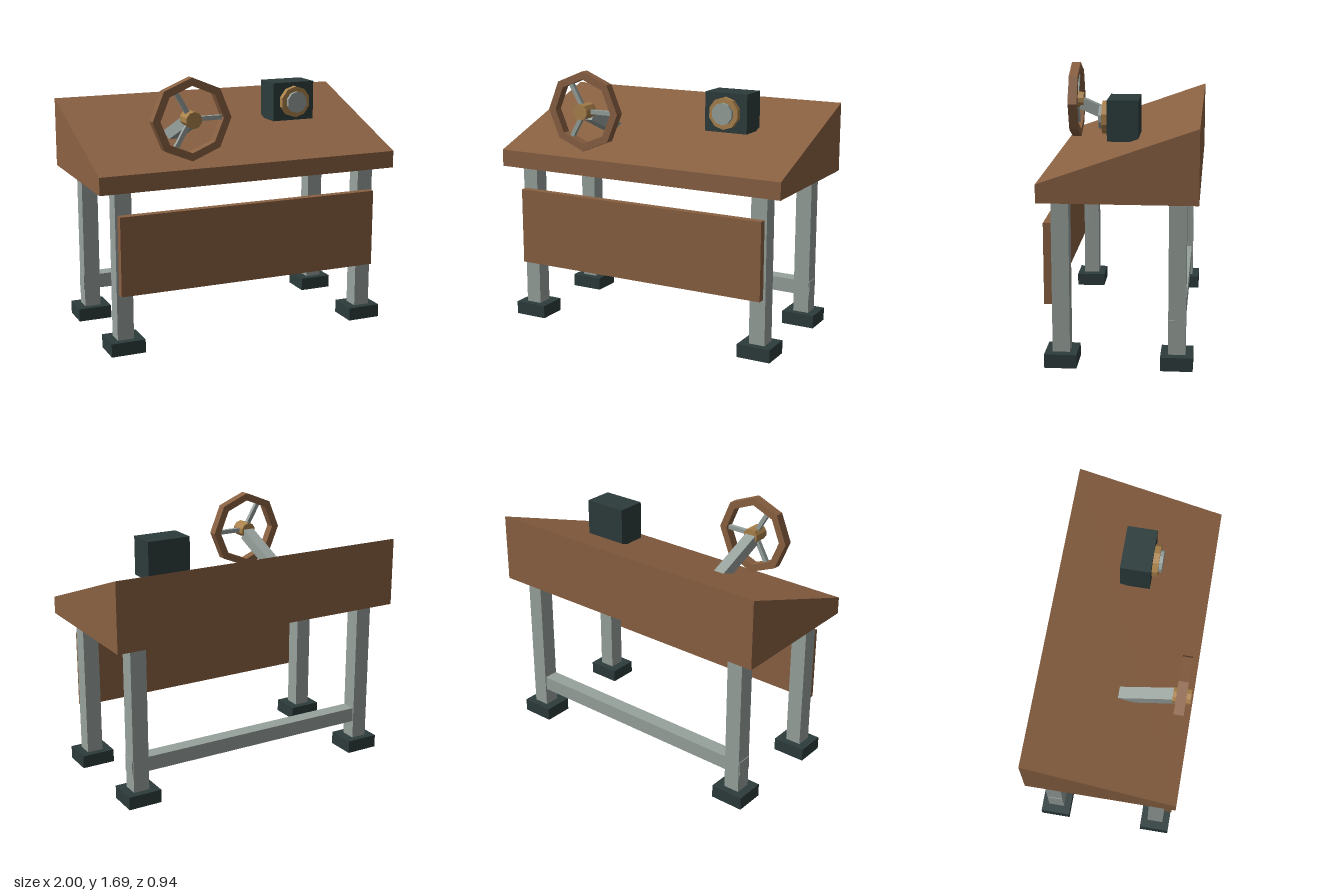
import * as THREE from 'three';

export function createModel() {
  const model = new THREE.Group();
  model.name = 'controlDesk';

  const mat = (name, color) => {
    const m = new THREE.MeshStandardMaterial({ color, flatShading: true });
    m.name = name;
    return m;
  };
  const wood = mat('wood', 0x8a6142);
  const metal = mat('greyMetal', 0x98a29d);
  const dark = mat('darkGreen', 0x2d3c3c);
  const brass = mat('brass', 0xab824c);

  const add = (name, geometry, material, x, y, z, parent = model) => {
    const mesh = new THREE.Mesh(geometry, material);
    mesh.name = name;
    mesh.position.set(x, y, z);
    parent.add(mesh);
    return mesh;
  };
  const box = (w, h, d) => new THREE.BoxGeometry(w, h, d);
  // cylinder whose axis runs front to back
  const disc = (r, depth, sides) => new THREE.CylinderGeometry(r, r, depth, sides).rotateX(Math.PI / 2);

  // Sloped desk: side profile (z, y) extruded across the width
  const profile = new THREE.Shape([
    [0.472, 1.03], [0.472, 1.14], [-0.472, 1.475], [-0.472, 1.03],
  ].map(([z, y]) => new THREE.Vector2(z, y)));
  const desk = new THREE.ExtrudeGeometry(profile, { depth: 2, bevelEnabled: false });
  desk.translate(0, 0, -1).rotateY(-Math.PI / 2);
  add('deskTop', desk, wood, 0, 0, 0);

  // Legs and feet
  for (const sx of [-1, 1]) {
    for (const sz of [-1, 1]) {
      add('leg', box(0.105, 0.97, 0.105), metal, sx * 0.833, 0.555, sz * 0.348);
      add('foot', box(0.22, 0.085, 0.195), dark, sx * 0.83, 0.0425, sz * 0.348);
    }
  }

  // Front panel and rear rail
  add('frontPanel', box(1.74, 0.5, 0.05), wood, 0, 0.63, 0.425);
  add('rearRail', box(1.78, 0.095, 0.095), metal, 0, 0.2525, -0.345);

  // Wheel: octagonal rim with three spokes and a hub
  const wheel = new THREE.Group();
  wheel.name = 'wheel';
  wheel.position.set(-0.392, 1.435, 0.4);
  model.add(wheel);
  const octagon = (r) => Array.from({ length: 8 }, (_, i) =>
    new THREE.Vector2(r * Math.cos(i * Math.PI / 4), r * Math.sin(i * Math.PI / 4)));
  const rimShape = new THREE.Shape(octagon(0.256));
  rimShape.holes.push(new THREE.Path(octagon(0.206)));
  const rim = new THREE.ExtrudeGeometry(rimShape, { depth: 0.06, bevelEnabled: false });
  add('wheelRim', rim, wood, 0, 0, -0.03, wheel);
  add('wheelHub', disc(0.052, 0.11, 10), brass, 0, 0, 0.003, wheel);
  for (let i = 0; i < 3; i++) {
    const spoke = box(0.2, 0.027, 0.027).translate(0.1, 0, 0);
    add('spoke', spoke, metal, 0, 0, 0, wheel).rotation.z = i * Math.PI * 2 / 3;
  }

  // Slanted column from the desk up to the hub
  const column = add('steeringColumn', box(0.075, 0.075, 0.42), metal, -0.392, 1.328, 0.172);
  column.rotation.x = -0.41;

  // Instrument box with a stepped dial
  add('instrumentBox', box(0.29, 0.25, 0.19), dark, 0.455, 1.448, 0);
  add('dialRing', disc(0.102, 0.05, 10), brass, 0.455, 1.448, 0.108);
  add('dialFace', disc(0.07, 0.03, 10), metal, 0.455, 1.448, 0.14);

  return model;
}
